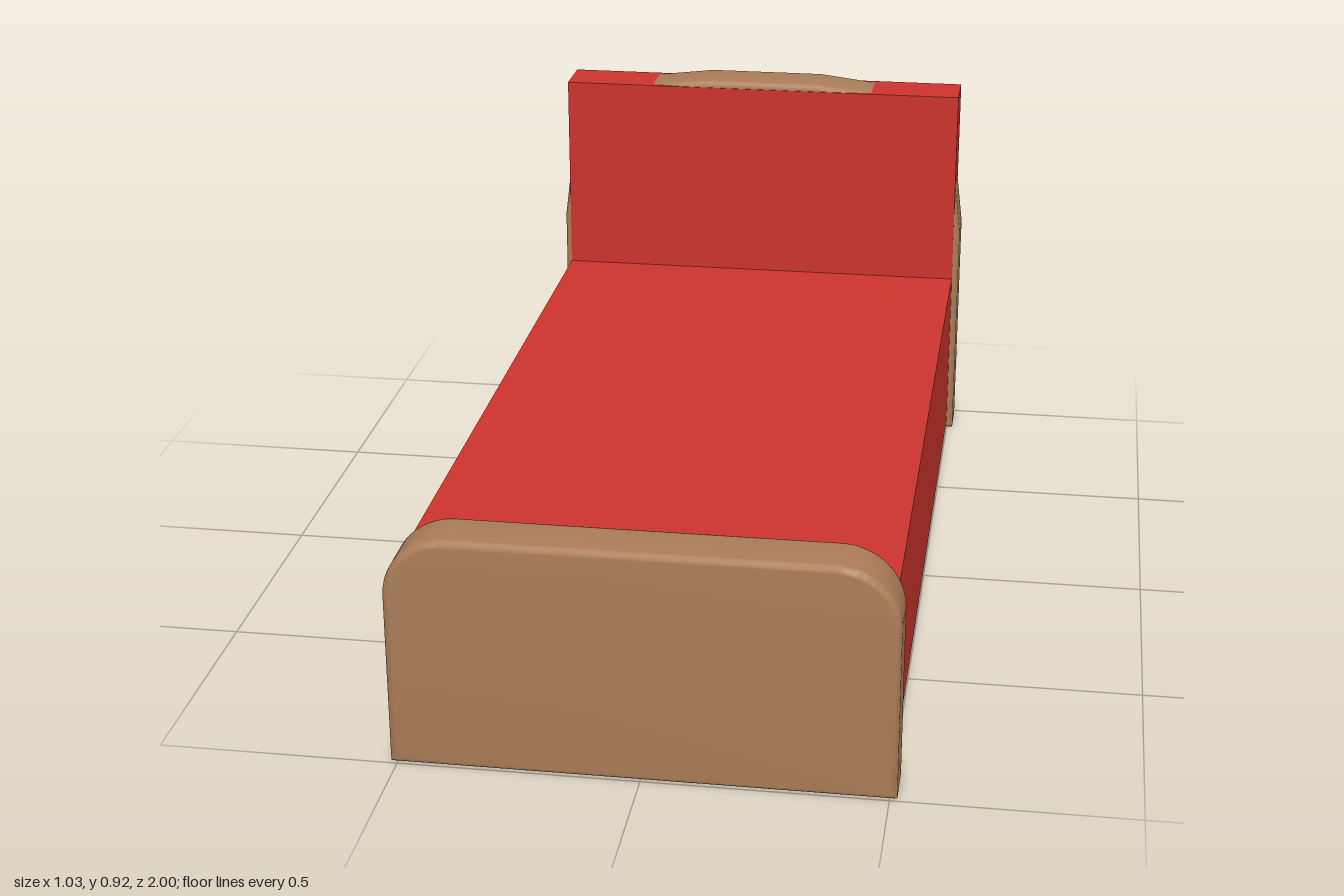
import * as THREE from 'three';
import { mergeVertices, toCreasedNormals } from 'three/addons/utils/BufferGeometryUtils.js';

const BEVEL = 0.014;

// Softly rounded board: extrudes an outline (drawn at its full size) in z.
function board(shape, zBack, zFront, material, name) {
  const geo = new THREE.ExtrudeGeometry(shape, {
    depth: zFront - zBack - 2 * BEVEL,
    bevelSize: BEVEL, bevelThickness: BEVEL, bevelOffset: -BEVEL,
    bevelSegments: 4, curveSegments: 10,
  });
  geo.translate(0, 0, zBack + BEVEL);
  geo.deleteAttribute('uv');
  geo.deleteAttribute('normal');
  const mesh = new THREE.Mesh(toCreasedNormals(mergeVertices(geo, 1e-5), 0.8), material);
  mesh.name = name;
  return mesh;
}

function box(x, y0, y1, z0, z1, material, name) {
  const mesh = new THREE.Mesh(new THREE.BoxGeometry(2 * x, y1 - y0, z1 - z0), material);
  mesh.position.set(0, (y0 + y1) / 2, (z0 + z1) / 2);
  mesh.name = name;
  return mesh;
}

export function createModel() {
  const red = new THREE.MeshStandardMaterial({ color: 0xcb342c });
  red.name = 'red bedding';
  const wood = new THREE.MeshStandardMaterial({ color: 0xab7d58 });
  wood.name = 'brown wood';

  const group = new THREE.Group();
  group.name = 'bed';

  // Footboard with large round upper corners
  const foot = new THREE.Shape();
  foot.moveTo(-0.515, 0);
  foot.lineTo(0.515, 0);
  foot.lineTo(0.515, 0.375);
  foot.absarc(0.385, 0.375, 0.13, 0, Math.PI / 2);
  foot.lineTo(-0.385, 0.505);
  foot.absarc(-0.385, 0.375, 0.13, Math.PI / 2, Math.PI);
  group.add(board(foot, 0.88, 1, wood, 'footboard'));

  // Headboard frame: mirrored half outline with a gently arched top
  const half = [[0.515, 0], [0.515, 0.545], [0.497, 0.69], [0.45, 0.8],
    [0.38, 0.87], [0.28, 0.905], [0.14, 0.922]];
  const outline = [...half, ...half.map(([x, y]) => [-x, y]).reverse()];
  const head = new THREE.Shape(outline.map(([x, y]) => new THREE.Vector2(x, y)));
  group.add(board(head, -0.998, -0.878, wood, 'headboardFrame'));

  // Red headboard panel covering both faces of the frame
  group.add(box(0.5, 0.018, 0.905, -1, -0.876, red, 'headboardPanel'));

  // Mattress block running into the footboard
  group.add(box(0.5, 0.02, 0.42, -0.88, 0.998, red, 'mattress'));

  return group;
}
